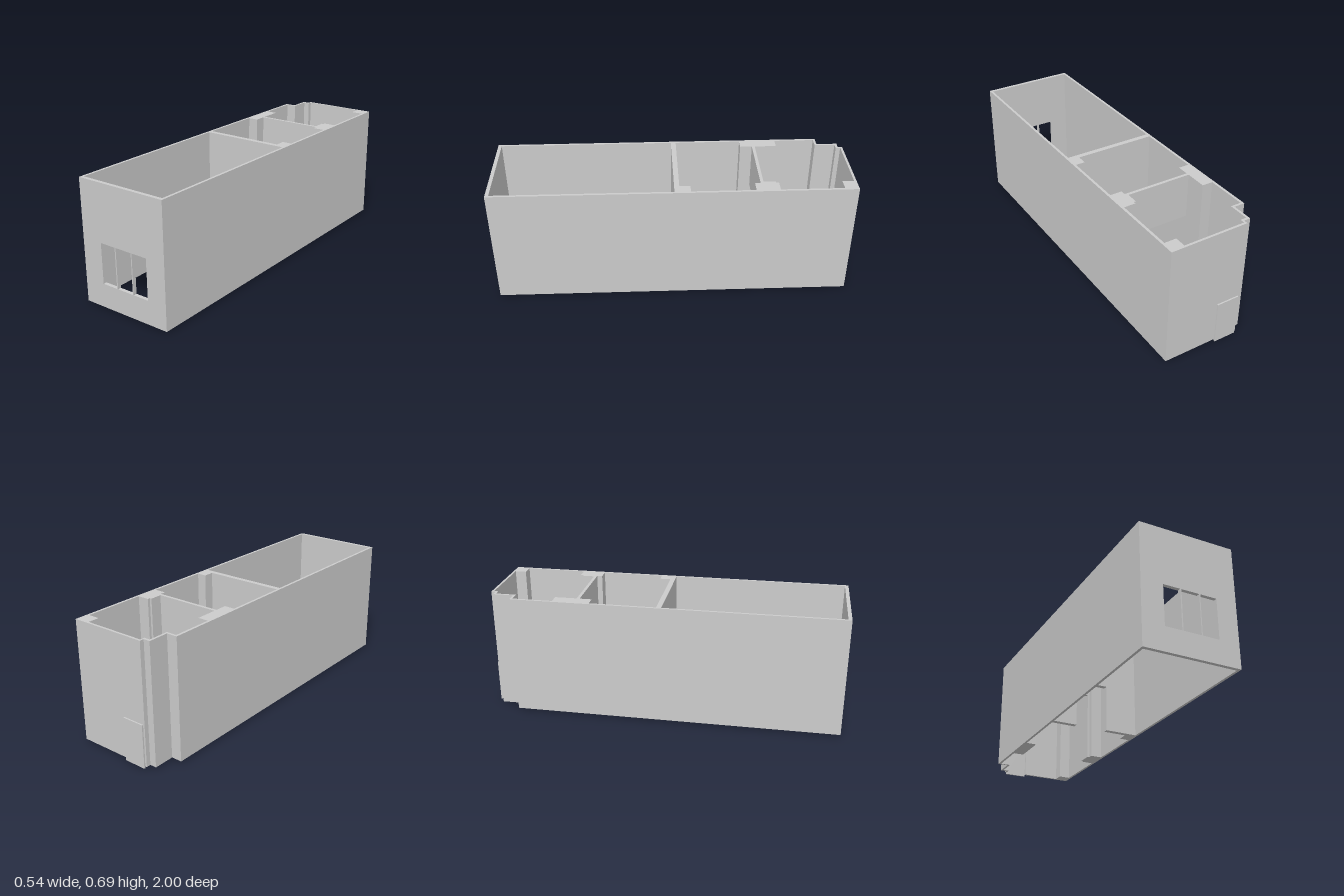
import * as THREE from 'three';

const BASE = 0.01, TOP = 0.69;
const material = new THREE.MeshStandardMaterial({ color: 0xcccccc, flatShading: true });

function toShape(points) {
  return new THREE.Shape(points.map(([a, b]) => new THREE.Vector2(a, b)));
}

function rect(x0, y0, x1, y1) {
  return [[x0, y0], [x1, y0], [x1, y1], [x0, y1]];
}

function addMesh(group, name, geometry) {
  const mesh = new THREE.Mesh(geometry, material);
  mesh.name = name;
  group.add(mesh);
}

// Full-height wall from a floor plan of [x, z] points
function planWall(group, name, plan) {
  const shape = toShape(plan.map(([x, z]) => [x, -z]));
  const geometry = new THREE.ExtrudeGeometry(shape, { depth: TOP - BASE, bevelEnabled: false });
  geometry.rotateX(-Math.PI / 2).translate(0, BASE, 0);
  addMesh(group, name, geometry);
}

// Cross wall from an elevation of [x, y] points, spanning z0 to z1
function crossWall(group, name, outline, z0, z1, holes = []) {
  const shape = toShape(outline);
  holes.forEach((h) => shape.holes.push(toShape(h)));
  const geometry = new THREE.ExtrudeGeometry(shape, { depth: z1 - z0, bevelEnabled: false });
  geometry.translate(0, 0, z0);
  addMesh(group, name, geometry);
}

// Wall outline with a doorway open at the floor
function doorwayOutline(x0, x1, d0, d1, h) {
  return [[x0, BASE], [d0, BASE], [d0, h], [d1, h], [d1, BASE], [x1, BASE], [x1, TOP], [x0, TOP]];
}

export function createModel() {
  const group = new THREE.Group();
  group.name = 'terraceShell';

  // Long left wall with its three pilasters
  planWall(group, 'leftWall', [
    [0.271, 0.98], [0.271, -0.992], [0.19, -0.992], [0.19, -0.915],
    [0.257, -0.915], [0.257, -0.57], [0.19, -0.57], [0.19, -0.555],
    [0.178, -0.555], [0.178, -0.487], [0.178, -0.47], [0.19, -0.47],
    [0.19, -0.44], [0.257, -0.44], [0.257, -0.09], [0.203, -0.09],
    [0.203, -0.002], [0.257, -0.002], [0.257, 0.98],
  ]);

  // Long right wall with chimney block and stepped rear corner
  planWall(group, 'rightWall', [
    [-0.271, 0.98], [-0.257, 0.98], [-0.257, -0.402], [-0.197, -0.402],
    [-0.197, -0.61], [-0.257, -0.61], [-0.257, -0.837], [-0.197, -0.837],
    [-0.197, -0.953], [-0.162, -0.953], [-0.162, -0.992], [-0.172, -0.992],
    [-0.172, -0.967], [-0.21, -0.967], [-0.21, -0.85], [-0.271, -0.85],
  ]);

  // Front wall with a three-light window
  const lights = [[-0.148, -0.053], [-0.046, 0.055], [0.061, 0.155]];
  crossWall(group, 'frontWall', rect(-0.271, BASE, 0.271, TOP), 0.98, 1,
    lights.map(([a, b]) => rect(a, 0.143, b, 0.368)));

  // Inner partitions
  crossWall(group, 'frontPartition',
    doorwayOutline(-0.257, 0.203, -0.12, 0.07, 0.28), -0.03, -0.002);
  crossWall(group, 'rearPartitionBeam', rect(-0.197, 0.43, 0.178, TOP), -0.487, -0.47);

  // Rear wall with its doorway against the stepped corner
  crossWall(group, 'rearWall', [
    [-0.162, 0.243], [-0.034, 0.243], [-0.034, BASE], [0.19, BASE], [0.19, TOP], [-0.162, TOP],
  ], -0.992, -0.979);

  // Rear door leaf
  const door = new THREE.BoxGeometry(0.129, 0.245, 0.008);
  door.translate(-0.0975, 0.1225, -0.996);
  addMesh(group, 'rearDoor', door);

  return group;
}
